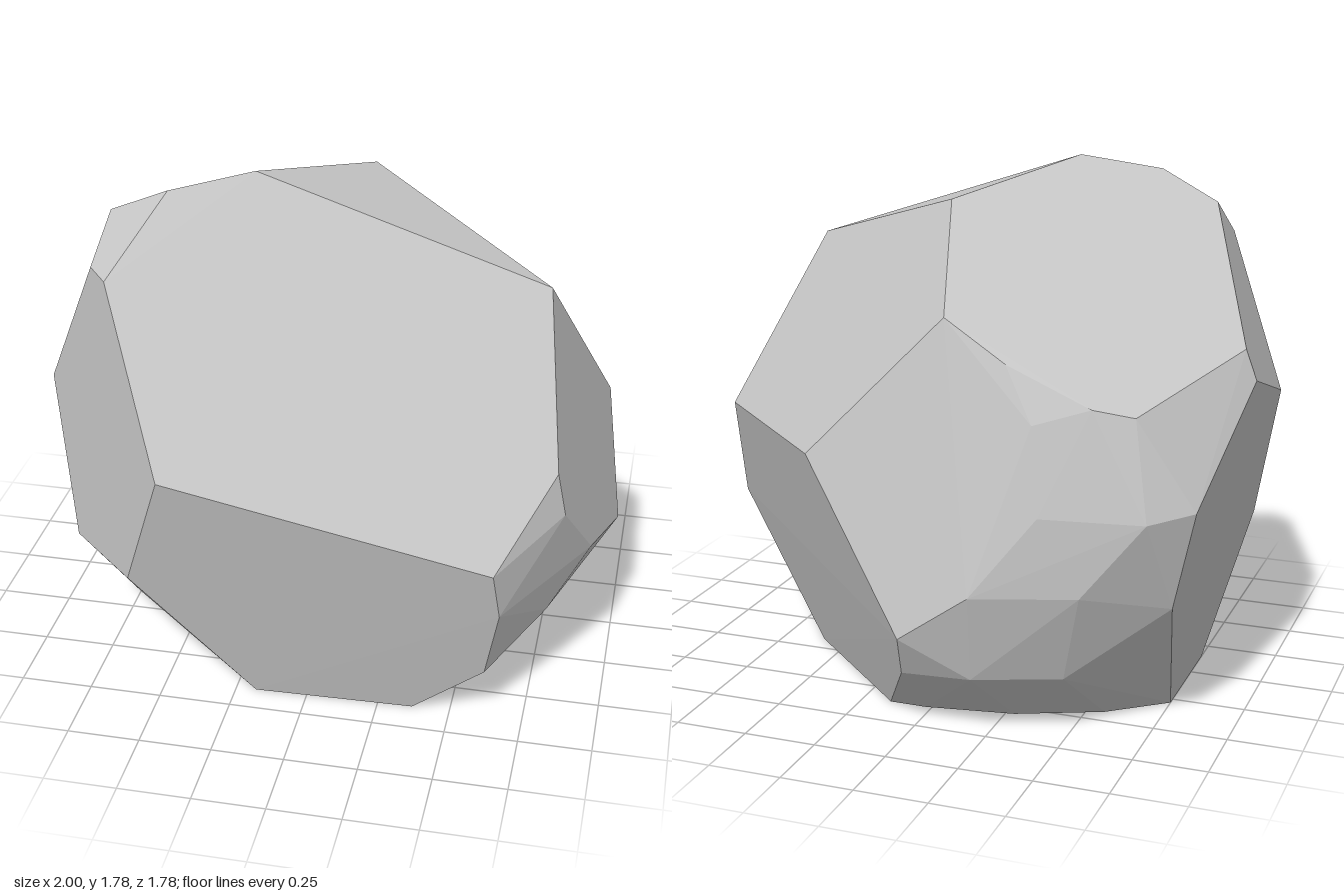
import * as THREE from 'three';
import { ConvexGeometry } from 'three/addons/geometries/ConvexGeometry.js';

// Corners of the faceted boulder, grouped by region
const corners = [
  // large sloping front facet
  [-0.43, 0.95, 0.89], [0.65, 0.68, 0.80], [0.82, 0.95, 0.57], [0.74, 1.45, 0.24],
  [-0.24, 1.78, 0.25], [-0.51, 1.73, 0.35], [-0.67, 1.49, 0.57],
  // lower front facet
  [-0.58, 0.50, 0.78], [-0.18, 0, 0.65], [0.37, 0, 0.635], [0.62, 0.22, 0.685], [0.67, 0.50, 0.755],
  // top facet
  [0.08, 1.67, -0.18], [-0.07, 1.37, -0.64], [-0.30, 1.25, -0.70], [-0.59, 1.135, -0.72],
  [-0.72, 1.11, -0.68], [-0.96, 1.25, -0.24], [-0.72, 1.63, 0.31],
  // facets on the -x side
  [-1.0, 1.15, -0.25], [-0.97, 0.98, 0.30], [-0.85, 0.46, 0.49], [-0.74, 1.50, 0.49],
  [-0.91, 0.81, -0.64], [-0.83, 0.47, -0.60],
  // facets on the +x side
  [0.93, 0.88, -0.18], [1.0, 0.48, 0.03], [0.41, 0.88, -0.68], [0, 0.36, -0.89],
  [0.85, 0.80, 0.57], [0.93, 0.57, 0.38], [0.80, 0.37, 0.49],
  // chipped back
  [-0.24, 0.53, -0.89], [-0.41, 1.08, -0.77], [-0.45, 0.80, -0.83], [-0.78, 0.79, -0.75],
  [-0.58, 0.54, -0.80], [0.02, 0.21, -0.81], [-0.22, 0.22, -0.81], [-0.50, 0.22, -0.70],
  // flat underside
  [0.60, 0, -0.17], [0.15, 0, -0.60], [0.02, 0, -0.60], [-0.28, 0, -0.55],
  [-0.56, 0, -0.43], [-0.75, 0, -0.28], [-0.75, 0, 0.15],
];

export function createModel() {
  const group = new THREE.Group();
  group.name = 'rock';

  const stone = new THREE.MeshStandardMaterial({ color: 0xc5c5c5, flatShading: true });
  stone.name = 'light grey stone';

  const points = corners.map(([x, y, z]) => new THREE.Vector3(x, y, z));
  const boulder = new THREE.Mesh(new ConvexGeometry(points), stone);
  boulder.name = 'boulder';
  group.add(boulder);

  return group;
}
